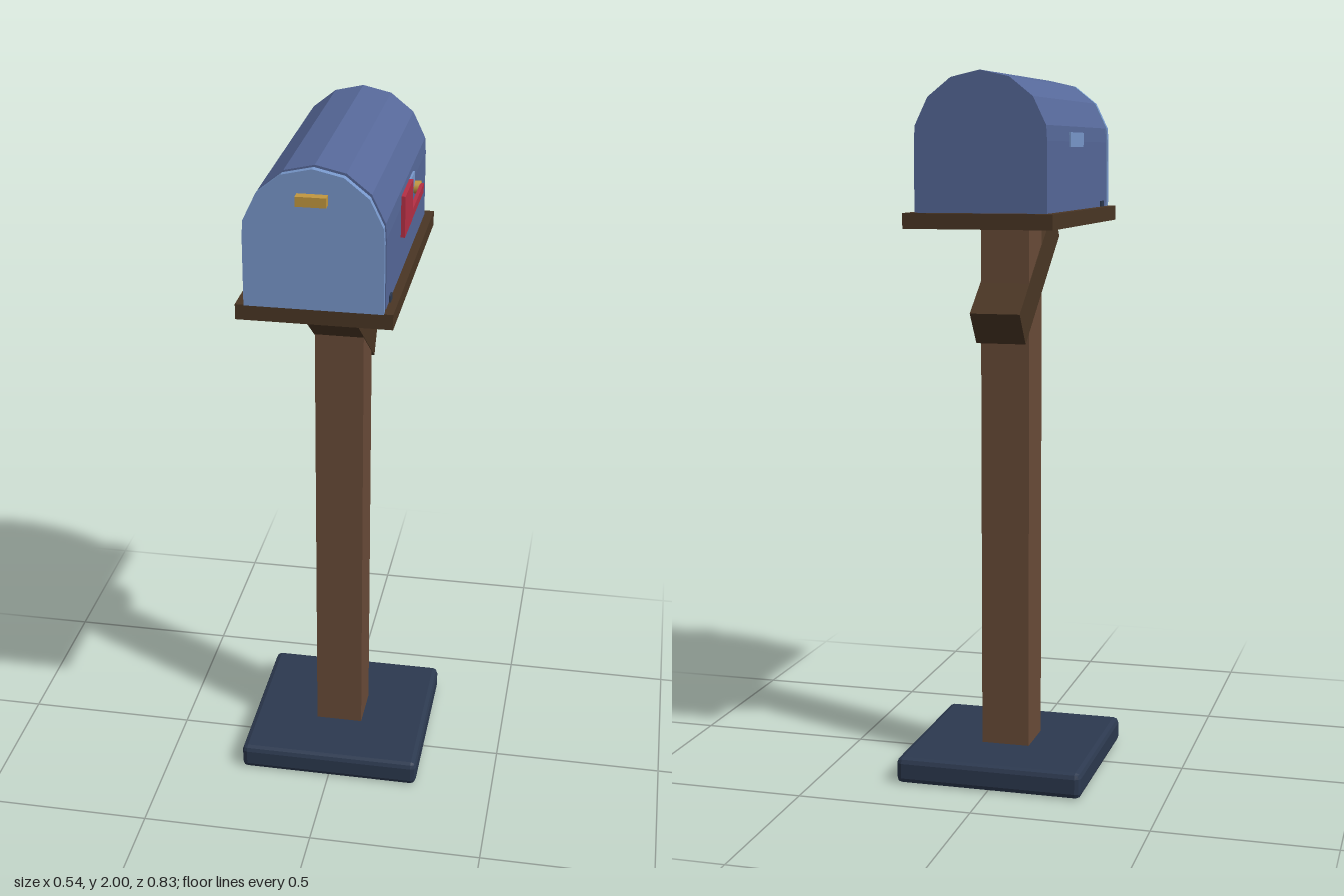
import * as THREE from 'three';
import { RoundedBoxGeometry } from 'three/addons/geometries/RoundedBoxGeometry.js';

const material = (name, color) => {
  const m = new THREE.MeshStandardMaterial({ color });
  m.name = name;
  return m;
};

export function createModel() {
  const model = new THREE.Group();
  model.name = 'mailbox';
  const bodyBlue = material('bodyBlue', 0x566899);
  const lightBlue = material('lightBlue', 0x7898cc);
  const postBrown = material('postBrown', 0x694b38);
  const darkWood = material('darkWood', 0x4a3624);
  const slate = material('slate', 0x2c394f);
  const red = material('red', 0xb52f45);
  const brass = material('brass', 0xc2973f);
  const paper = material('paper', 0xe6dad6);

  const add = (name, geometry, mat, x = 0, y = 0, z = 0) => {
    const mesh = new THREE.Mesh(geometry, mat);
    mesh.name = name;
    mesh.position.set(x, y, z);
    model.add(mesh);
    return mesh;
  };
  // Box given by its lower and upper limits on each axis
  const box = (name, mat, [x0, x1], [y0, y1], [z0, z1]) =>
    add(name, new THREE.BoxGeometry(x1 - x0, y1 - y0, z1 - z0), mat,
      (x0 + x1) / 2, (y0 + y1) / 2, (z0 + z1) / 2);

  // Chamfered foot with flat facets
  const foot = new RoundedBoxGeometry(0.54, 0.075, 0.54, 1, 0.016);
  foot.computeVertexNormals();
  add('base', foot, slate, 0, 0.0375, -0.065);

  // Post, slanted brace and shelf board
  box('post', postBrown, [-0.07, 0.07], [0.07, 1.59], [-0.135, 0.008]);
  const brace = add('brace', new THREE.BoxGeometry(0.143, 0.11, 0.483), darkWood, 0, 1.442, -0.015);
  brace.rotation.x = -0.63;
  box('board', darkWood, [-0.207, 0.207], [1.583, 1.625], [-0.415, 0.382]);

  // Arched section: straight walls under half of a 14-sided circle
  const R = 0.185, spring = 1.815;
  const arch = new THREE.Shape();
  arch.moveTo(-0.183, 1.625);
  arch.lineTo(0.183, 1.625);
  arch.lineTo(0.183, spring);
  for (let k = 3; k >= -3; k--) {
    const a = k * Math.PI / 7;
    arch.lineTo(R * Math.sin(a), spring + R * Math.cos(a));
  }
  arch.lineTo(-0.183, spring);
  arch.closePath();
  const archBlock = (name, mat, z0, z1) =>
    add(name, new THREE.ExtrudeGeometry(arch, { depth: z1 - z0, bevelEnabled: false }), mat, 0, 0, z0);
  archBlock('body', bodyBlue, -0.383, 0.35);
  archBlock('door', lightBlue, 0.367, 0.386);

  // Letters behind the door
  box('largeLetter', paper, [-0.16, 0.16], [1.645, 1.83], [0.35, 0.355]);
  box('smallLetter', paper, [-0.107, 0.107], [1.65, 1.81], [0.356, 0.36]);

  // Door handle
  box('handle', brass, [-0.04, 0.04], [1.91, 1.936], [0.386, 0.413]);

  // Side plates and small hinges, mirrored
  for (const s of [-1, 1]) {
    const span = (a, b) => (s > 0 ? [a, b] : [-b, -a]);
    box('sidePlate', lightBlue, span(0.178, 0.187), [1.8, 1.84], [-0.127, 0.03]);
    box('hinge', slate, span(0.175, 0.188), [1.625, 1.642], [0.27, 0.302]);
  }

  // Signal flag on its pivot
  const pivot = add('flagPivot', new THREE.CylinderGeometry(0.018, 0.018, 0.022, 10), brass, 0.191, 1.787, -0.148);
  pivot.rotation.z = Math.PI / 2;
  box('flagArm', red, [0.2, 0.21], [1.775, 1.8], [-0.145, 0.083]);
  box('flagPanel', red, [0.2, 0.211], [1.775, 1.886], [0.08, 0.222]);

  return model;
}
